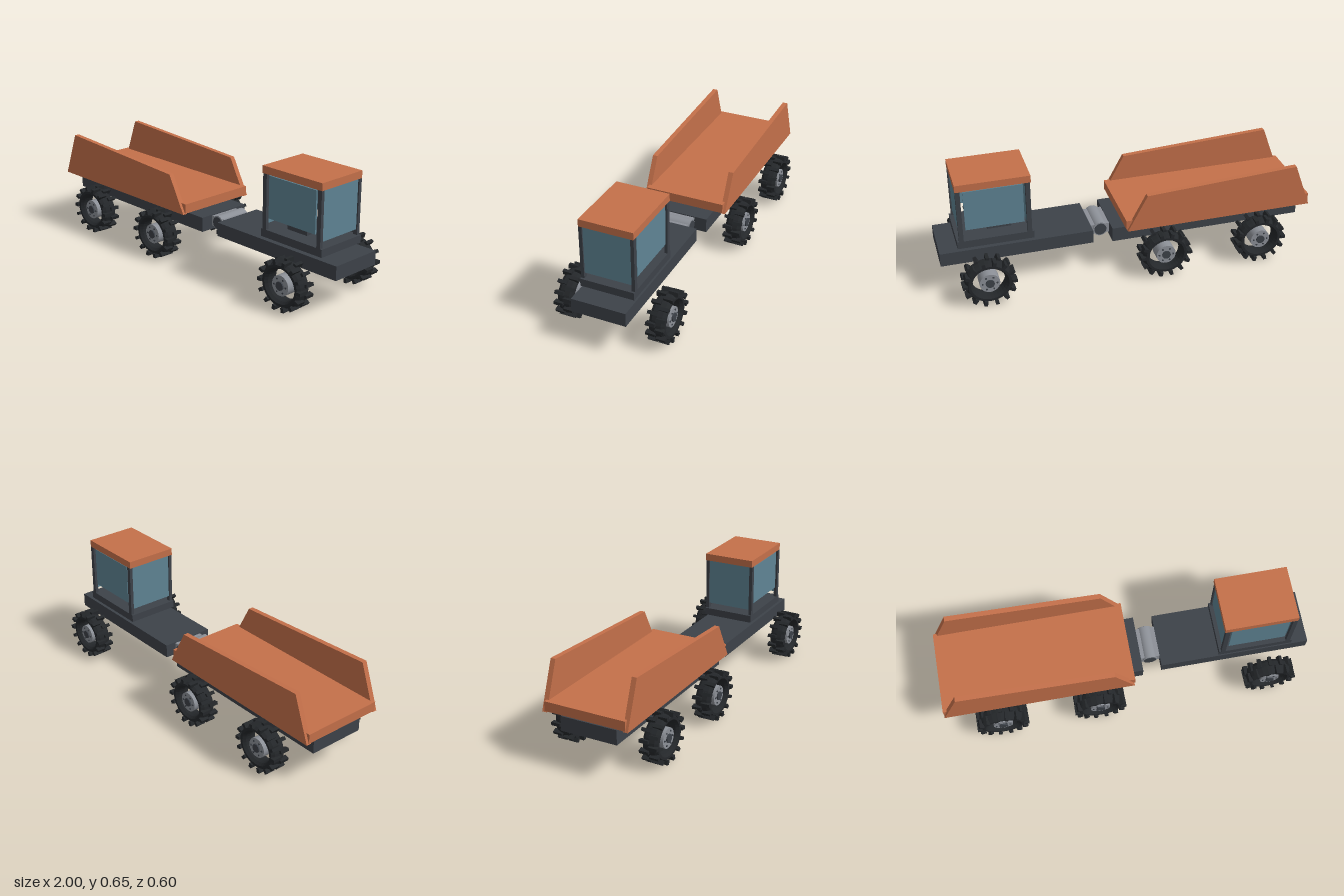
import * as THREE from 'three';

const mat = (color, flatShading = false) => new THREE.MeshStandardMaterial({ color, flatShading });
const paint = mat(0xc4704a), dark = mat(0x3d4249), glass = mat(0x5f8494);
const rubber = mat(0x24272a, true), metal = mat(0x8c9097);

function add(parent, name, geometry, material, x = 0, y = 0, z = 0) {
  const mesh = new THREE.Mesh(geometry, material);
  mesh.name = name;
  mesh.position.set(x, y, z);
  parent.add(mesh);
  return mesh;
}

// Box given by its limits on each axis
function block(parent, name, material, [x0, x1], [y0, y1], [z0, z1]) {
  return add(parent, name, new THREE.BoxGeometry(x1 - x0, y1 - y0, z1 - z0), material,
    (x0 + x1) / 2, (y0 + y1) / 2, (z0 + z1) / 2);
}

// Cylinder with its axis along z
const disc = (r, depth, sides = 24) => new THREE.CylinderGeometry(r, r, depth, sides).rotateX(Math.PI / 2);

function createWheel() {
  const wheel = new THREE.Group();
  wheel.name = 'wheel';

  // Tyre with staggered lugs on its two shoulders
  const tyre = new THREE.Group();
  tyre.name = 'tyre';
  wheel.add(tyre);
  add(tyre, 'tyreBody', new THREE.TorusGeometry(0.106, 0.022, 10, 32), rubber).scale.z = 2;
  const lugs = 14;
  for (const side of [-1, 1]) {
    for (let i = 0; i < lugs; i++) {
      const a = (i + (side > 0 ? 0 : 0.5)) / lugs * Math.PI * 2;
      const lug = add(tyre, 'treadLug', new THREE.BoxGeometry(0.026, 0.018, 0.05), rubber,
        Math.cos(a) * 0.128, Math.sin(a) * 0.128, side * 0.025);
      lug.rotation.z = a;
    }
  }
  tyre.scale.y = 0.93;

  // Hub, centre cap and bolts
  add(wheel, 'hub', disc(0.053, 0.07), metal);
  add(wheel, 'hubCap', disc(0.023, 0.085, 16), dark);
  for (let i = 0; i < 6; i++) {
    const a = i / 6 * Math.PI * 2;
    add(wheel, 'hubBolt', disc(0.005, 0.078, 6), dark, Math.cos(a) * 0.038, Math.sin(a) * 0.038, 0);
  }
  return wheel;
}

function createCab() {
  const cab = new THREE.Group();
  cab.name = 'cab';
  block(cab, 'cabFloor', dark, [0.505, 0.906], [0.275, 0.316], [-0.145, 0.145]);
  block(cab, 'cabRoof', paint, [0.51, 0.896], [0.606, 0.645], [-0.145, 0.145]);
  block(cab, 'seat', dark, [0.607, 0.735], [0.316, 0.377], [-0.06, 0.06]);
  for (const x of [0.515, 0.871]) {
    for (const z of [-0.145, 0.127]) {
      block(cab, 'cabPost', dark, [x, x + 0.024], [0.316, 0.606], [z, z + 0.018]);
    }
    block(cab, 'endWindow', glass, [x + 0.007, x + 0.017], [0.345, 0.605], [-0.127, 0.127]);
  }
  for (const z of [-0.14, 0.132]) {
    block(cab, 'sideWindow', glass, [0.551, 0.857], [0.378, 0.6], [z, z + 0.008]);
  }
  return cab;
}

function createBed() {
  const bed = new THREE.Group();
  bed.name = 'loadBed';
  block(bed, 'bedFloor', paint, [-1, 0.03], [0.285, 0.336], [-0.223, 0.223]);

  // Sloped side boards
  const outline = new THREE.Shape([[-1, 0.28], [0.026, 0.28], [-0.08, 0.478], [-0.91, 0.522]]
    .map(([x, y]) => new THREE.Vector2(x, y)));
  const board = new THREE.ExtrudeGeometry(outline, { depth: 0.027, bevelEnabled: false });
  for (const z of [-0.237, 0.21]) add(bed, 'sideBoard', board, paint, 0, 0, z);
  return bed;
}

export function createModel() {
  const model = new THREE.Group();
  model.name = 'articulatedHauler';

  // Chassis halves and the joint between them
  block(model, 'frontFrame', dark, [0.19, 1], [0.186, 0.26], [-0.146, 0.146]);
  block(model, 'rearFrame', dark, [-0.967, 0.087], [0.181, 0.26], [-0.156, 0.156]);
  block(model, 'bedSupport', dark, [-0.73, -0.02], [0.255, 0.267], [-0.125, 0.125]);
  block(model, 'hitchBlock', metal, [0.08, 0.195], [0.2, 0.255], [-0.086, 0.086]);
  add(model, 'hitchBarrel', disc(0.04, 0.184), metal, 0.137, 0.228, 0);
  add(model, 'hitchPin', disc(0.033, 0.19), dark, 0.137, 0.228, 0);

  model.add(createCab(), createBed());

  // Three pairs of wheels
  for (const x of [-0.708, -0.172, 0.773]) {
    for (const side of [-1, 1]) {
      const wheel = createWheel();
      wheel.position.set(x, 0.131, side * 0.25);
      if (side < 0) wheel.rotation.y = Math.PI;
      model.add(wheel);
    }
  }
  return model;
}
